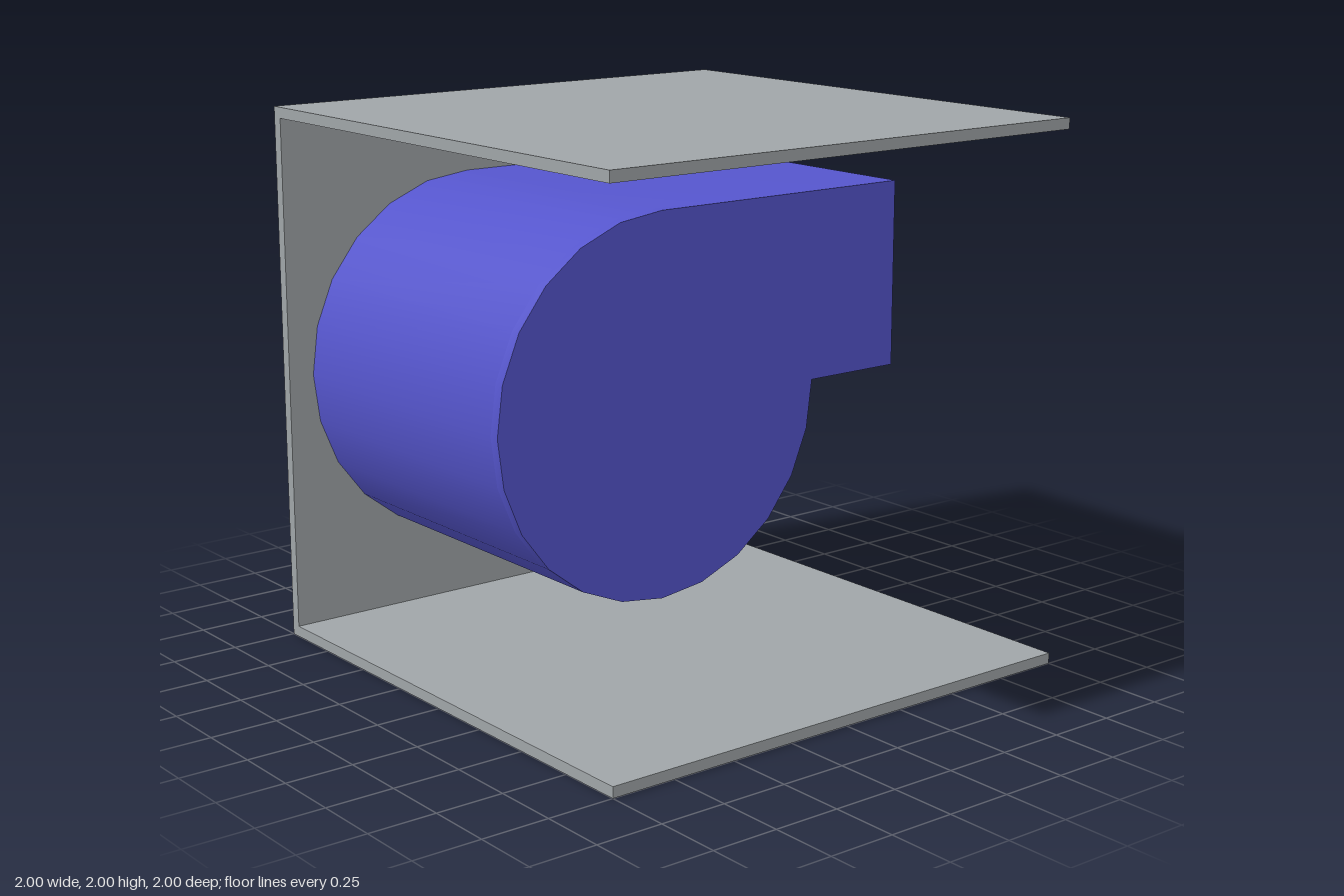
import * as THREE from 'three';
import { toCreasedNormals } from 'three/addons/utils/BufferGeometryUtils.js';

const grey = new THREE.MeshStandardMaterial({ color: 0xa0a5a8 });
grey.name = 'panelGrey';
const blue = new THREE.MeshStandardMaterial({ color: 0x5555cc });
blue.name = 'housingBlue';

const WALL = 0.04;
const BACK = -1 + WALL; // front face of the back panel
const FRONT = 0.24; // front face of the blower housing

function box(name, material, min, max) {
  const size = max.map((v, i) => v - min[i]);
  const mesh = new THREE.Mesh(new THREE.BoxGeometry(...size), material);
  mesh.position.set(...max.map((v, i) => (v + min[i]) / 2));
  mesh.name = name;
  return mesh;
}

// Three-quarter turn of the scroll, from its right side down and round to its top
function scrollArc(radius) {
  const points = [];
  for (let i = 0; i <= 18; i++) {
    const a = -i * Math.PI / 12;
    points.push(new THREE.Vector2(-0.2 + radius * Math.cos(a), 1 + radius * Math.sin(a)));
  }
  return points;
}

function extrude(name, points, z0, z1) {
  const geometry = new THREE.ExtrudeGeometry(new THREE.Shape(points), { depth: z1 - z0, bevelEnabled: false });
  const mesh = new THREE.Mesh(toCreasedNormals(geometry, Math.PI / 6), blue);
  mesh.position.z = z0;
  mesh.name = name;
  return mesh;
}

export function createModel() {
  const model = new THREE.Group();
  model.name = 'blowerInCabinet';

  // Cabinet: back, top and bottom panels, open at the front and sides
  const cabinet = new THREE.Group();
  cabinet.name = 'cabinet';
  cabinet.add(
    box('backPanel', grey, [-1, 0, -1], [1, 2, BACK]),
    box('bottomPanel', grey, [-1, 0, BACK], [1, WALL, 1]),
    box('topPanel', grey, [-1, 2 - WALL, BACK], [1, 2, 1])
  );

  // Blower housing: hollow scroll with a rectangular outlet on the +x side
  const p = (x, y) => new THREE.Vector2(x, y);
  const outer = [p(0.9, 1), ...scrollArc(0.7), p(0.9, 1.7)];
  const inner = [p(0.9, 1.7 - WALL), ...scrollArc(0.7 - WALL).reverse(), p(0.5, 1 + WALL), p(0.9, 1 + WALL)];
  const housing = new THREE.Group();
  housing.name = 'blowerHousing';
  housing.add(
    extrude('scrollWall', [...outer, ...inner], BACK, FRONT - WALL),
    extrude('frontCover', outer, FRONT - WALL, FRONT),
    box('outletRim', blue, [0.9 - WALL, 1 + WALL, BACK], [0.9, 1.7 - WALL, BACK + WALL])
  );

  model.add(cabinet, housing);
  return model;
}
